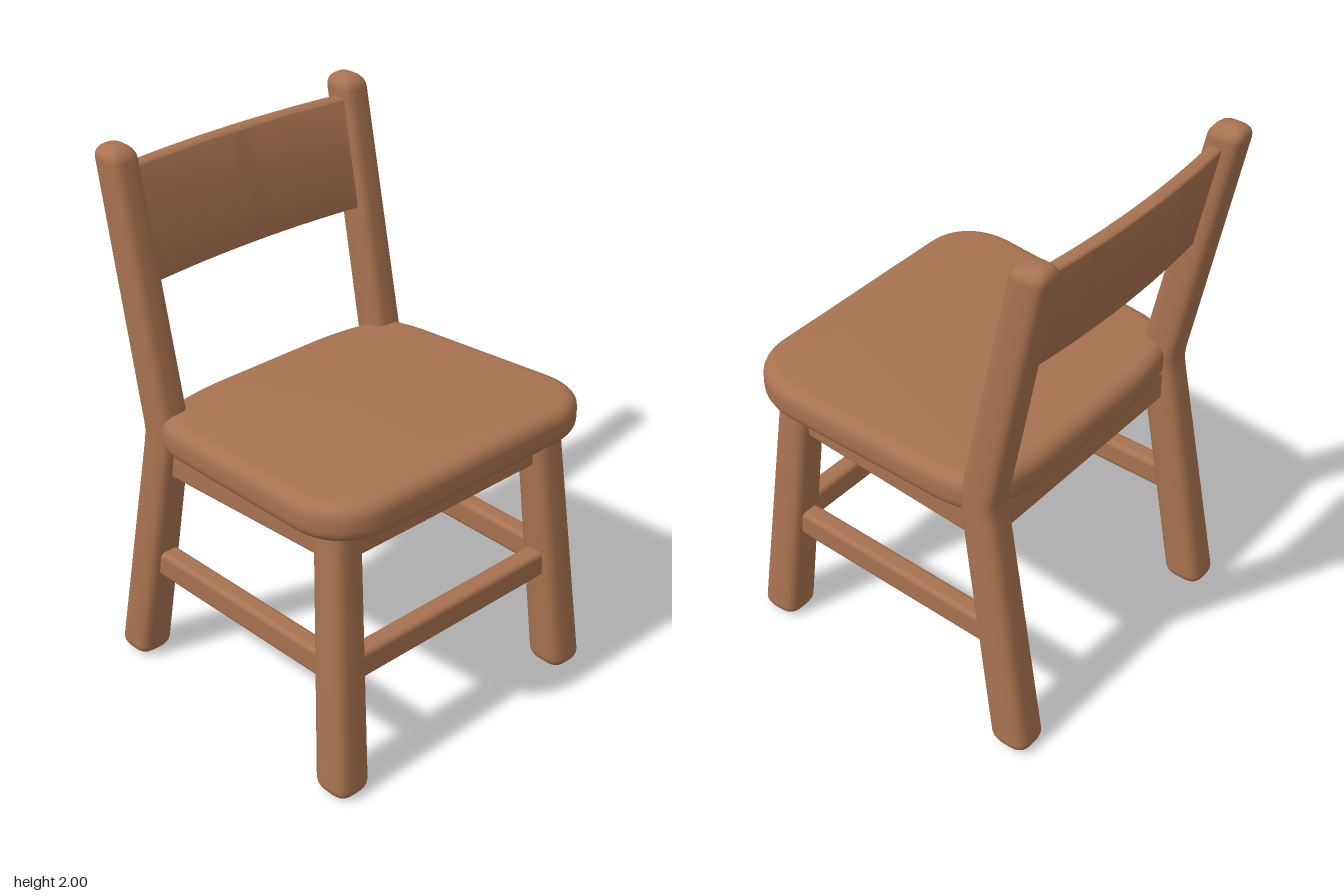
import * as THREE from 'three';
import { toCreasedNormals } from 'three/addons/utils/BufferGeometryUtils.js';
import { RoundedBoxGeometry } from 'three/addons/geometries/RoundedBoxGeometry.js';

const wood = new THREE.MeshStandardMaterial({ color: 0xa87250 });
wood.name = 'wood';

// Rounded-square post through stations [x, y, z, halfX, halfZ], listed bottom to top, with rounded ends
function post(stations, r = 0.045, sides = 32) {
  const rings = [];
  const steps = 5;
  const first = stations[0], last = stations[stations.length - 1];
  const between = (a, b, y) => a.map((v, i) => v + (b[i] - v) * (y - a[1]) / (b[1] - a[1]));
  const round = ([x, y, z, hx, hz], inset) => [x, y, z, hx - inset, hz - inset];
  for (let k = 0; k <= steps; k++) {
    const t = k / steps * Math.PI / 2;
    rings.push(round(between(first, stations[1], first[1] + r * (1 - Math.cos(t))), r * (1 - Math.sin(t))));
  }
  rings.push(...stations.slice(1, -1));
  for (let k = steps; k >= 0; k--) {
    const t = k / steps * Math.PI / 2;
    rings.push(round(between(stations[stations.length - 2], last, last[1] - r * (1 - Math.cos(t))), r * (1 - Math.sin(t))));
  }
  const pos = [], idx = [];
  const soft = v => Math.sign(v) * Math.abs(v) ** 0.62;
  for (const [x, y, z, hx, hz] of rings) {
    for (let i = 0; i < sides; i++) {
      const a = i / sides * Math.PI * 2;
      pos.push(x + hx * soft(Math.cos(a)), y, z + hz * soft(Math.sin(a)));
    }
  }
  const n = rings.length;
  pos.push(...rings[0].slice(0, 3), ...rings[n - 1].slice(0, 3));
  for (let i = 0; i < sides; i++) {
    const j = (i + 1) % sides;
    for (let k = 0; k < n - 1; k++) {
      const a = k * sides + i, b = k * sides + j;
      idx.push(a, a + sides, b, b, a + sides, b + sides);
    }
    idx.push(n * sides, i, j, n * sides + 1, (n - 1) * sides + j, (n - 1) * sides + i);
  }
  const g = new THREE.BufferGeometry();
  g.setAttribute('position', new THREE.Float32BufferAttribute(pos, 3));
  g.setIndex(idx);
  g.computeVertexNormals();
  return g;
}

// Slab with an outline in x and z, from y = 0 up to height, with rounded edges, then bent by a rule
function slab(shape, height, bevel, rule) {
  const g = new THREE.ExtrudeGeometry(shape, {
    depth: height - 2 * bevel, bevelThickness: bevel, bevelSize: bevel,
    bevelOffset: -bevel, bevelSegments: 5, curveSegments: 16,
  });
  g.rotateX(Math.PI / 2).translate(0, height - bevel, 0);
  const p = g.attributes.position;
  const v = new THREE.Vector3();
  for (let i = 0; i < p.count; i++) {
    rule(v.fromBufferAttribute(p, i));
    p.setXYZ(i, v.x, v.y, v.z);
  }
  return toCreasedNormals(g, 0.7);
}

export function createModel() {
  const chair = new THREE.Group();
  chair.name = 'chair';
  const add = (name, geometry) => {
    const m = new THREE.Mesh(geometry, wood);
    m.name = name;
    chair.add(m);
    return m;
  };
  // Straight rail between two points
  const rail = (name, a, b, width, height, r) => {
    const from = new THREE.Vector3(...a), to = new THREE.Vector3(...b);
    const m = add(name, new RoundedBoxGeometry(width, height, from.distanceTo(to), 3, r));
    m.position.copy(from).lerp(to, 0.5);
    m.lookAt(to);
  };

  // Seat: wide rounded front, narrower bowed back, sloping down to the rear
  const s = new THREE.Shape();
  s.moveTo(-0.4, 0.63);
  s.lineTo(0.4, 0.63);
  s.bezierCurveTo(0.53, 0.625, 0.61, 0.54, 0.61, 0.4);
  s.lineTo(0.585, -0.2);
  s.bezierCurveTo(0.575, -0.34, 0.55, -0.39, 0.45, -0.41);
  s.quadraticCurveTo(0.34, -0.44, 0.2, -0.44);
  s.lineTo(-0.2, -0.44);
  s.quadraticCurveTo(-0.34, -0.44, -0.45, -0.41);
  s.bezierCurveTo(-0.55, -0.39, -0.575, -0.34, -0.585, -0.2);
  s.lineTo(-0.61, 0.4);
  s.bezierCurveTo(-0.61, 0.54, -0.53, 0.625, -0.4, 0.63);
  add('seat', slab(s, 0.14, 0.05, v => { v.y += 0.967 + 0.058 * v.z; }));

  // Backrest: curved board leaning with the rear posts
  const b = new THREE.Shape();
  b.moveTo(-0.5, -0.482);
  b.quadraticCurveTo(0, -0.545, 0.5, -0.482);
  b.lineTo(0.5, -0.428);
  b.quadraticCurveTo(0, -0.491, -0.5, -0.428);
  add('backrest', slab(b, 0.4, 0.015, v => { v.z -= 0.205 * v.y; v.y += 1.53; }));

  for (const side of [-1, 1]) {
    const name = side > 0 ? 'left' : 'right';
    add(name + 'FrontLeg', post([
      [side * 0.538, 0.005, 0.556, 0.074, 0.078],
      [side * 0.472, 1.03, 0.463, 0.066, 0.066],
    ]));
    // Rear leg bends at the seat and carries on up as the back post
    add(name + 'RearLegAndPost', post([
      [side * 0.537, 0.01, -0.54, 0.073, 0.077],
      [side * 0.508, 0.96, -0.374, 0.064, 0.072],
      [side * 0.507, 1.0, -0.369, 0.064, 0.072],
      [side * 0.508, 1.04, -0.373, 0.063, 0.072],
      [side * 0.512, 2.0, -0.567, 0.058, 0.066],
    ]));
    rail(name + 'Apron', [side * 0.475, 0.935, 0.46], [side * 0.5, 0.905, -0.38], 0.07, 0.13, 0.012);
    rail(name + 'Stretcher', [side * 0.507, 0.465, 0.5], [side * 0.52, 0.453, -0.45], 0.075, 0.105, 0.02);
  }
  rail('frontApron', [-0.47, 0.935, 0.465], [0.47, 0.935, 0.465], 0.07, 0.14, 0.012);
  rail('rearApron', [-0.5, 0.91, -0.375], [0.5, 0.91, -0.375], 0.07, 0.12, 0.012);
  rail('frontStretcher', [-0.5, 0.462, 0.513], [0.5, 0.462, 0.513], 0.075, 0.105, 0.02);

  return chair;
}
